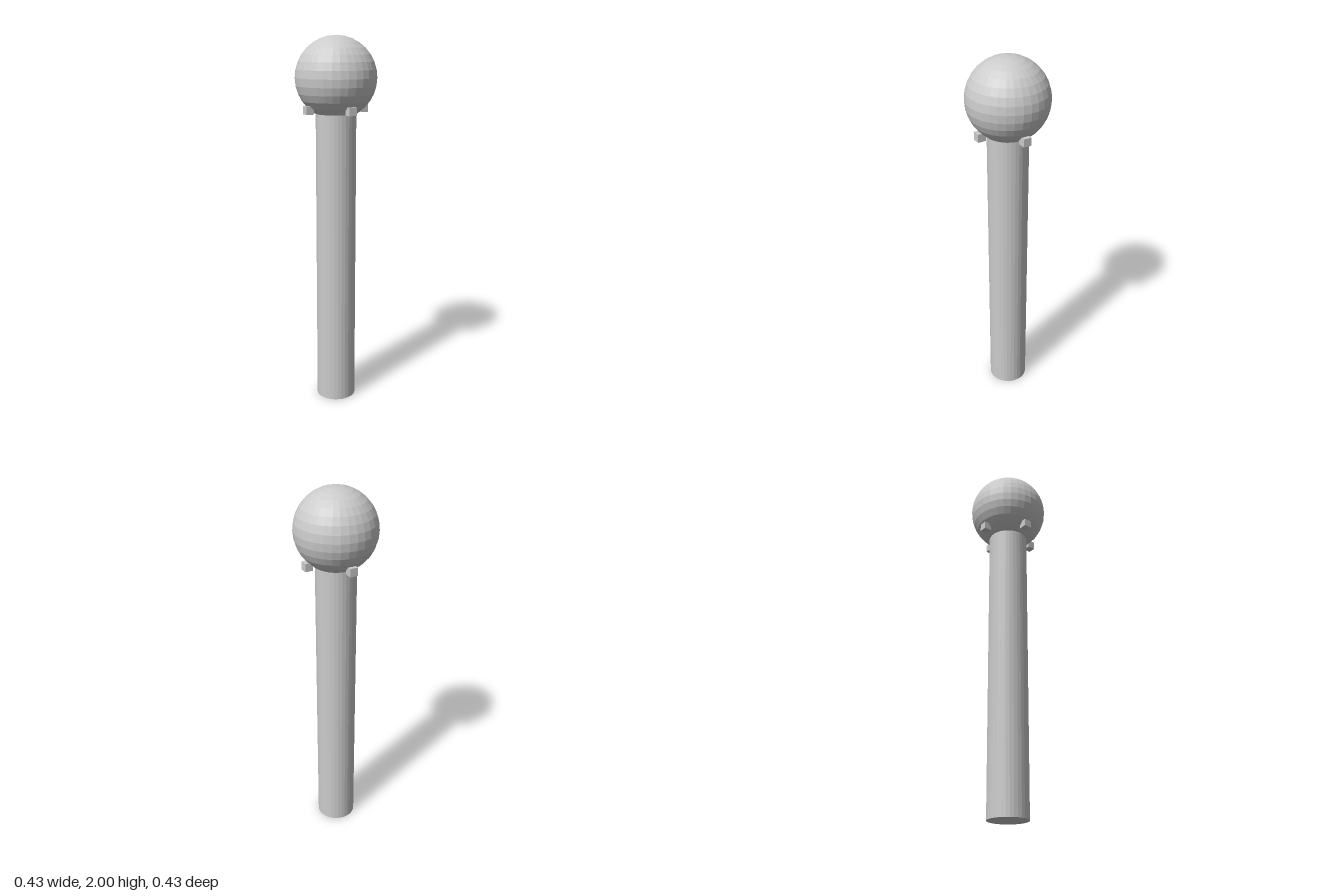
import * as THREE from 'three';

export function createModel() {
  const model = new THREE.Group();
  const material = new THREE.MeshStandardMaterial({ color: 0xcccccc, flatShading: true });
  const unit = 2 / 18.7; // shaft radius

  const add = (name, geometry, x, y, z) => {
    const mesh = new THREE.Mesh(geometry, material);
    mesh.name = name;
    mesh.position.set(x, y, z).multiplyScalar(unit);
    model.add(mesh);
  };

  // Upright shaft
  add('shaft', new THREE.CylinderGeometry(unit, unit, 15 * unit, 32), 0, 7.5, 0);

  // Ball resting on the shaft
  add('ball', new THREE.SphereGeometry(2 * unit, 32, 16), 0, 16.7, 0);

  // Four small blocks around the neck
  const block = new THREE.BoxGeometry(0.4 * unit, 0.4 * unit, 0.4 * unit);
  for (const [x, z] of [[1, 0], [0, 1], [-1, 0], [0, -1]]) {
    add('neckBlock', block, 1.5 * x, 15.2, 1.5 * z);
  }

  return model;
}
